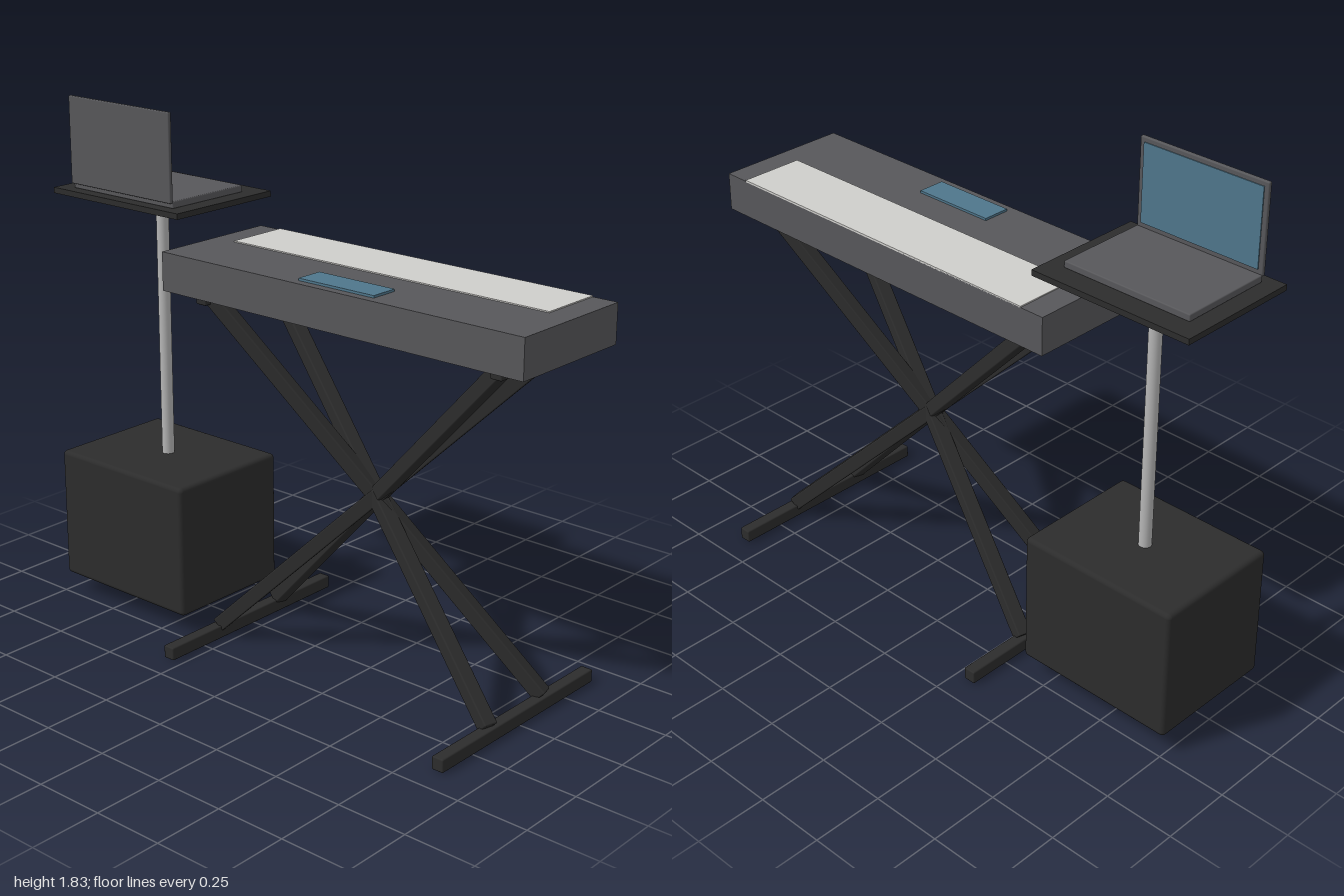
import * as THREE from 'three';
import { RoundedBoxGeometry } from 'three/addons/geometries/RoundedBoxGeometry.js';

export function createModel() {
  const group = new THREE.Group();
  const mat = (name, color) => {
    const m = new THREE.MeshStandardMaterial({ color });
    m.name = name;
    return m;
  };
  const black = mat('black', 0x2c2c2c);
  const grey = mat('dark grey', 0x57575a);
  const ivory = mat('key ivory', 0xcfcecb);
  const metal = mat('pole metal', 0xb6b6b6);
  const glass = mat('screen blue', 0x4f768b);

  const add = (name, geometry, material) => {
    const mesh = new THREE.Mesh(geometry, material);
    mesh.name = name;
    group.add(mesh);
    return mesh;
  };
  // Box given by its minimum and maximum on each axis, with optional rounding
  const block = (name, material, [x0, x1], [y0, y1], [z0, z1], r = 0) => {
    const size = [x1 - x0, y1 - y0, z1 - z0];
    const g = r ? new RoundedBoxGeometry(...size, 3, r) : new THREE.BoxGeometry(...size);
    const mesh = add(name, g, material);
    mesh.position.set((x0 + x1) / 2, (y0 + y1) / 2, (z0 + z1) / 2);
    return mesh;
  };

  // Keyboard instrument with its key bed and display
  block('keyboardBody', grey, [-0.46, 1], [1.24, 1.373], [-0.24, 0.24]);
  block('keys', ivory, [-0.37, 0.91], [1.37, 1.377], [-0.24, -0.01]);
  block('keyboardDisplay', glass, [0.115, 0.42], [1.372, 1.381], [0.11, 0.21]);

  // Crossed stand: feet, top rails and four legs meeting in the middle
  const cx = 0.27;
  for (const s of [-1, 1]) {
    const foot = cx + s * 0.578, rail = cx + s * 0.6;
    block('standFoot', black, [foot - 0.022, foot + 0.022], [0, 0.046], [-0.405, 0.405], 0.005);
    block('standRail', black, [rail - 0.022, rail + 0.022], [1.205, 1.241], [-0.195, 0.195], 0.005);
    for (const t of [-1, 1]) {
      const bottom = new THREE.Vector3(cx + s * 0.578, 0.045, t * 0.147);
      const top = new THREE.Vector3(cx - s * 0.585, 1.222, -t * 0.147);
      const leg = add('standLeg',
        new RoundedBoxGeometry(0.05, 0.05, bottom.distanceTo(top), 2, 0.005), black);
      leg.position.copy(bottom).add(top).multiplyScalar(0.5);
      leg.lookAt(top);
    }
  }

  // Speaker cabinet and pole
  block('speakerCabinet', black, [-1, -0.4], [0.068, 0.545], [-0.24, 0.24], 0.016);
  const pole = add('pole', new THREE.CylinderGeometry(0.022, 0.022, 0.95, 24), metal);
  pole.position.set(-0.7, 1.015, 0);

  // Tray with an open laptop facing the back
  block('tray', black, [-1, -0.4], [1.487, 1.507], [-0.226, 0.226]);
  block('laptopBase', grey, [-0.94, -0.46], [1.507, 1.531], [-0.15, 0.185], 0.004);
  block('laptopLid', grey, [-0.94, -0.46], [1.525, 1.828], [0.183, 0.197], 0.004);
  block('laptopScreen', glass, [-0.924, -0.476], [1.545, 1.812], [0.18, 0.185]);

  return group;
}
